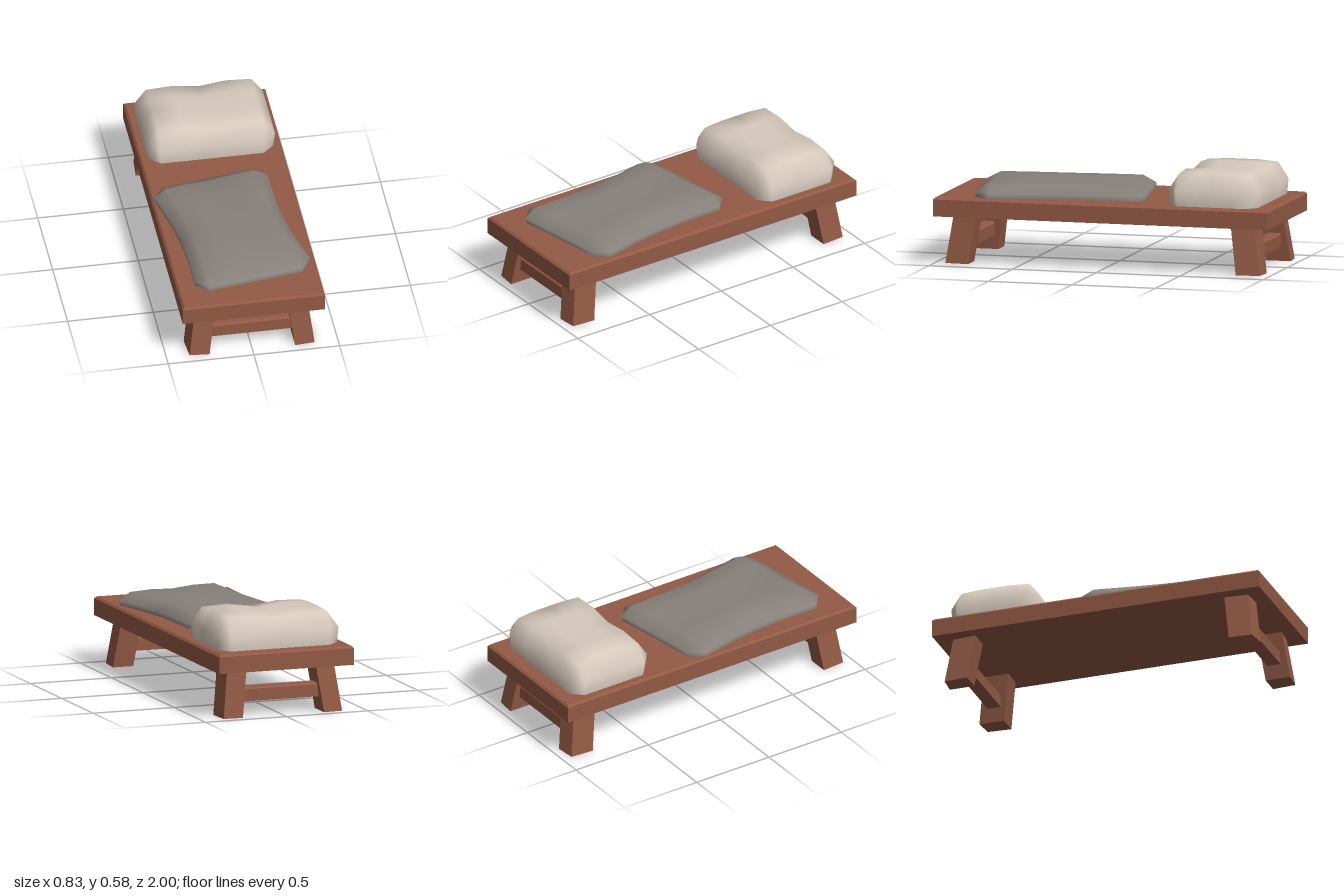
import * as THREE from 'three';

const wood = new THREE.MeshStandardMaterial({ color: 0x935a45 });
wood.name = 'brown wood';
const cream = new THREE.MeshStandardMaterial({ color: 0xd6c9bc });
cream.name = 'cream cloth';
const grey = new THREE.MeshStandardMaterial({ color: 0x87807a });
grey.name = 'grey cloth';

function makeMesh(name, positions, indices, material, flat) {
  let geometry = new THREE.BufferGeometry();
  geometry.setAttribute('position', new THREE.Float32BufferAttribute(positions, 3));
  geometry.setIndex(indices);
  if (flat) geometry = geometry.toNonIndexed();
  geometry.computeVertexNormals();
  const mesh = new THREE.Mesh(geometry, material);
  mesh.name = name;
  return mesh;
}

// Flat-faced solid through stacked four-cornered rings: [y, [[x, z] * 4]]
function loftSolid(name, rings, material) {
  const base = rings[0][1];
  let area = 0;
  base.forEach(([x, z], i) => {
    const [nx, nz] = base[(i + 1) % 4];
    area += nx * z - x * nz;
  });
  const positions = [];
  const indices = [];
  rings.forEach(([y, ring], r) => {
    const ordered = area > 0 ? ring : [...ring].reverse();
    ordered.forEach(([x, z]) => positions.push(x, y, z));
    if (r === 0) return;
    for (let i = 0; i < 4; i++) {
      const a = (r - 1) * 4 + i, b = (r - 1) * 4 + (i + 1) % 4;
      indices.push(a, b, b + 4, a, b + 4, a + 4);
    }
  });
  const t = (rings.length - 1) * 4;
  indices.push(0, 2, 1, 0, 3, 2, t, t + 1, t + 2, t, t + 2, t + 3);
  return makeMesh(name, positions, indices, material, true);
}

// Plank with a chamfered upper edge
function plank(name, hx, hz, y0, y1, bevel, cz = 0) {
  const rect = (d) => [[hx - d, cz + hz - d], [hx - d, cz - hz + d], [-hx + d, cz - hz + d], [-hx + d, cz + hz - d]];
  return loftSolid(name, [[y0, rect(0)], [y1 - bevel, rect(0)], [y1, rect(bevel)]], wood);
}

// Soft cushion: a domed grid with clipped corners and a skirt to the base.
// place(s, t) maps -1..1 coordinates to [x, z]; height(s, t) gives the top.
function cushion(name, cols, rows, place, height, rimY, baseY, baseScale, material) {
  const n = cols.length, m = rows.length;
  const positions = [], indices = [], rim = [];
  const at = (i, j) => j * n + i;
  rows.forEach((t, j) => cols.forEach((s, i) => {
    const onS = i === 0 || i === n - 1, onT = j === 0 || j === m - 1;
    let u = s, v = t;
    if (onS && onT) {
      u = s * (1 + cols[n - 2]) / 2;
      v = t * (1 + rows[m - 2]) / 2;
    }
    const [x, z] = place(u, v);
    positions.push(x, onS || onT ? rimY : height(s, t), z);
    if (i < n - 1 && j < m - 1) {
      const a = at(i, j), b = at(i + 1, j), c = at(i, j + 1), d = at(i + 1, j + 1);
      // split each corner cell so the clipped corner stays rounded
      if ((i < n / 2 - 1) === (j < m / 2 - 1)) indices.push(a, c, d, a, d, b);
      else indices.push(a, c, b, b, c, d);
    }
    if (onS || onT) rim.push({ i, j, u, v });
  }));
  const order = [];
  for (let i = 0; i < n - 1; i++) order.push([i, m - 1]);
  for (let j = m - 1; j > 0; j--) order.push([n - 1, j]);
  for (let i = n - 1; i > 0; i--) order.push([i, 0]);
  for (let j = 0; j < m - 1; j++) order.push([0, j]);
  const start = n * m;
  order.forEach(([i, j], k) => {
    const { u, v } = rim.find((p) => p.i === i && p.j === j);
    const [x, z] = place(u * baseScale, v * baseScale);
    positions.push(x, baseY, z);
    const next = (k + 1) % order.length;
    const top = at(i, j), topNext = at(...order[next]);
    indices.push(start + k, start + next, topNext, start + k, topNext, top);
  });
  return makeMesh(name, positions, indices, material, false);
}

export function createModel() {
  const bed = new THREE.Group();
  bed.name = 'bed';

  bed.add(plank('bedBoard', 0.415, 1, 0.275, 0.385, 0.012));

  // Splayed legs, and a rail between each pair
  const foot = [[0.25, 0.95], [0.365, 0.94], [0.375, 0.8], [0.25, 0.8]];
  for (const sz of [1, -1]) {
    for (const sx of [1, -1]) {
      const ring = (dx, dz) => foot.map(([x, z]) => [sx * (x - dx), sz * (z - dz)]);
      const leg = `${sz > 0 ? 'front' : 'back'}${sx > 0 ? 'Left' : 'Right'}Leg`;
      bed.add(loftSolid(leg, [[0, ring(0, 0)], [0.28, ring(0.037, 0.04)]], wood));
    }
    bed.add(plank(sz > 0 ? 'frontRail' : 'backRail', 0.26, 0.04, 0.085, 0.165, 0.01, sz * 0.855));
  }

  const cols = [-1, -0.82, -0.42, 0, 0.42, 0.82, 1];

  // Pillow, dipped along its middle
  const dip = (s) => (s === 0 ? -0.014 : Math.abs(s) < 0.5 ? 0.008 : 0);
  bed.add(cushion('pillow', cols, [-1, -0.77, -0.35, 0, 0.35, 0.77, 1],
    (s, t) => [s * 0.375, -0.65 + t * 0.27],
    (s, t) => 0.567 + dip(s) + (Math.abs(t) < 0.5 ? 0.009 : 0),
    0.475, 0.384, 0.975, cream));

  // Folded blanket, a skewed quad with pinched long sides
  const corners = [[-0.405, -0.11], [0.268, -0.22], [-0.3, 0.87], [0.39, 0.76]];
  const place = (s, t) => {
    const u = (s + 1) / 2, v = (t + 1) / 2;
    const mix = (k) => (corners[0][k] * (1 - u) + corners[1][k] * u) * (1 - v)
      + (corners[2][k] * (1 - u) + corners[3][k] * u) * v;
    return [mix(0) - s * 0.032 * Math.max(0, 1 - (t / 0.84) ** 2), mix(1)];
  };
  bed.add(cushion('blanket', [-1, -0.8, -0.4, 0, 0.4, 0.8, 1], [-1, -0.84, -0.35, 0, 0.35, 0.84, 1],
    place,
    (s, t) => 0.456 + dip(s) * 0.4 + (Math.abs(t) < 0.5 ? 0.004 : 0),
    0.414, 0.384, 1, grey));

  return bed;
}
